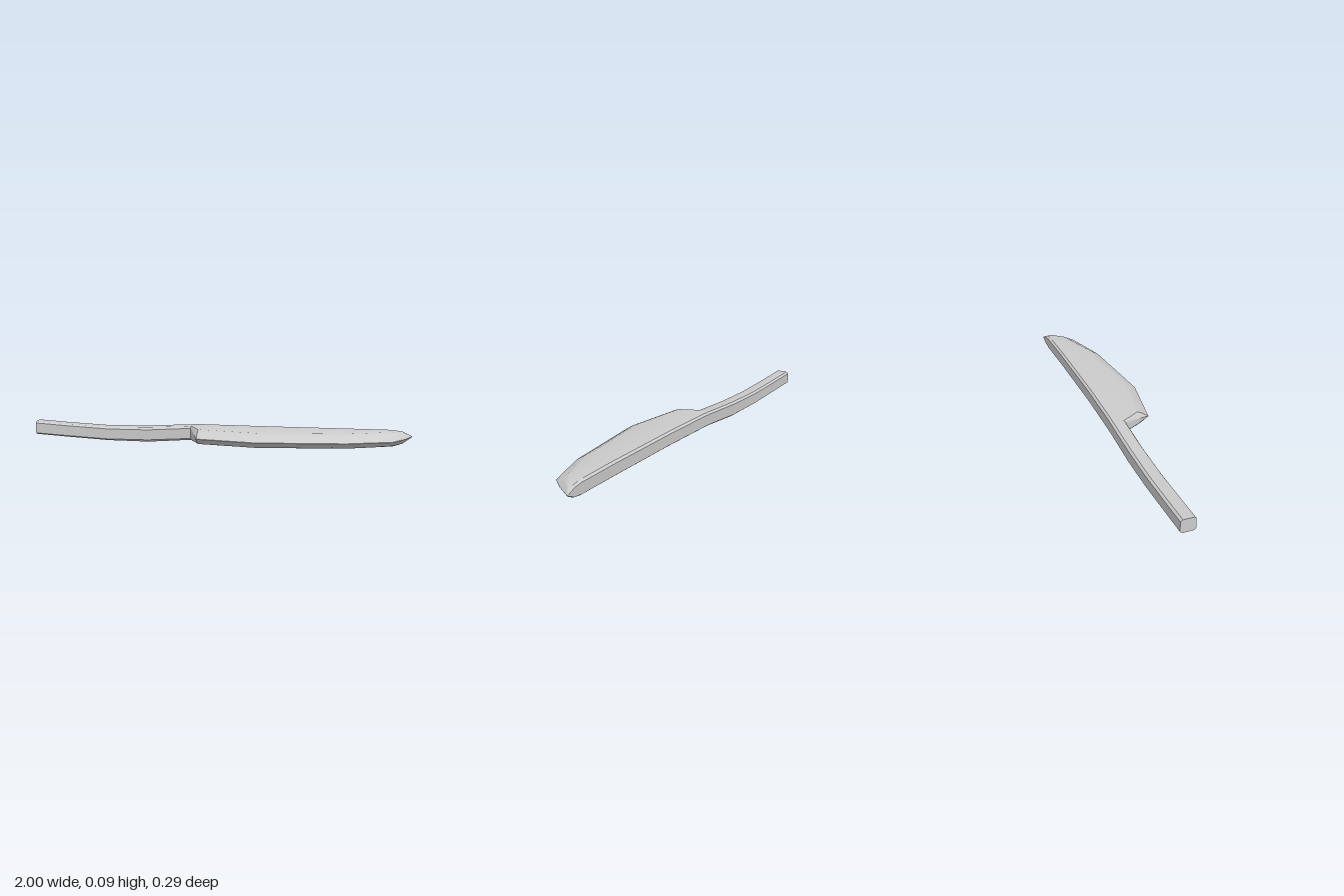
import * as THREE from 'three';
import { toCreasedNormals } from 'three/addons/utils/BufferGeometryUtils.js';

// Skin closed rings (running along +x) and cap both ends
function loft(rings) {
  const n = rings[0].length;
  const pos = rings.flat(2);
  const idx = [];
  for (let i = 0; i < rings.length - 1; i++) {
    for (let j = 0; j < n; j++) {
      const a = i * n + j, b = i * n + (j + 1) % n;
      idx.push(a, b, a + n, b, b + n, a + n);
    }
  }
  const last = (rings.length - 1) * n;
  for (let j = 1; j < n - 1; j++) {
    idx.push(0, j + 1, j, last, last + j, last + j + 1);
  }
  const g = new THREE.BufferGeometry();
  g.setAttribute('position', new THREE.Float32BufferAttribute(pos, 3));
  g.setIndex(idx);
  return toCreasedNormals(g, 0.52);
}

// Mirrored section: chamfered spine, flat side, shoulder, then front edge
// x, centre height y, half height h, z of spine / flat end / shoulder / edge, edge half thickness e
function section([x, y, h, back, flat, shoulder, edge, e]) {
  const chamfer = Math.min(0.012, (flat - back) / 3);
  const top = [
    [back, h * 0.76], [back + chamfer, h], [flat, h],
    [shoulder, e > 0.01 ? h * 0.92 : h * 0.77], [edge, e],
  ];
  const bottom = top.map(([z, v]) => [z, -v]).reverse();
  return [...top, ...bottom].map(([z, v]) => [x, y + v, z]);
}

export function createModel() {
  const group = new THREE.Group();
  const material = new THREE.MeshStandardMaterial({ color: 0xcccccc });
  const add = (name, rows) => {
    const mesh = new THREE.Mesh(loft(rows.map(section)), material);
    mesh.name = name;
    group.add(mesh);
  };

  // Gently sagging handle with chamfered edges
  const grip = (x, y, h) => [x, y, h, -0.126, -0.062, -0.056, -0.05, 0.027];
  const neck = grip(-0.147, 0.058, 0.037);
  add('handle', [
    grip(-1, 0.06, 0.035),
    grip(-0.82, 0.05, 0.035),
    grip(-0.6, 0.04, 0.036),
    grip(-0.38, 0.042, 0.039),
    neck,
  ]);

  // Blade: slanted heel, bevelled belly, pointed tip
  add('blade', [
    neck,
    [-0.09, 0.059, 0.038, -0.125, 0.035, 0.055, 0.097, 0.001],
    [0.22, 0.059, 0.038, -0.123, 0.08, 0.1, 0.143, 0.001],
    [0.67, 0.059, 0.038, -0.131, 0.022, 0.044, 0.088, 0.001],
    [0.9, 0.059, 0.037, -0.139, -0.065, -0.04, 0.012, 0.001],
    [0.95, 0.059, 0.029, -0.141, -0.105, -0.09, -0.056, 0.001],
    [1, 0.06, 0.002, -0.143, -0.142, -0.1415, -0.141, 0.001],
  ]);
  return group;
}
